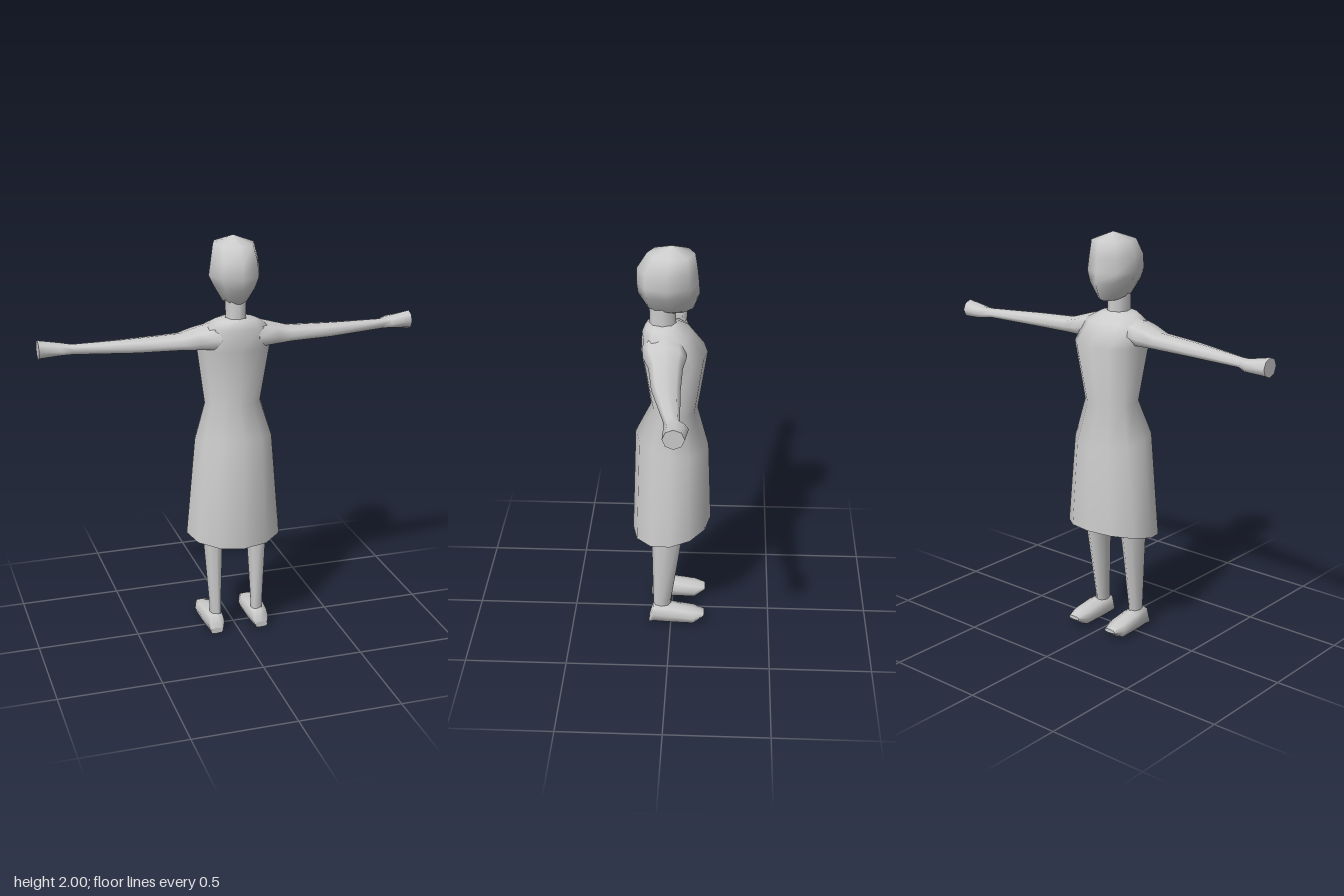
import * as THREE from 'three';

const material = new THREE.MeshStandardMaterial({ color: 0xcccccc, side: THREE.DoubleSide });
const soften = (v, e) => Math.sign(v) * Math.abs(v) ** e;

// Skins rounded cross-sections. Each ring is [s, aMin, aMax, bMin, bMax, roundness, tilt];
// place() turns (s, a, b) into a point. Flat caps get their own rim so the edge stays sharp.
function loft(name, rings, sides, place, capStart = true, capEnd = true) {
  const pos = [], idx = [];
  const addRing = ([s, a0, a1, b0, b1, e = 1, tilt = 0]) => {
    const first = pos.length / 3;
    for (let i = 0; i < sides; i++) {
      const t = (i / sides) * Math.PI * 2;
      const a = (a0 + a1) / 2 + ((a1 - a0) / 2) * soften(Math.cos(t), e);
      const b = (b0 + b1) / 2 + ((b1 - b0) / 2) * soften(Math.sin(t), e);
      pos.push(...place(s + tilt * b, a, b));
    }
    return first;
  };
  const starts = rings.map(addRing);
  for (let r = 0; r < rings.length - 1; r++) {
    for (let i = 0; i < sides; i++) {
      const j = (i + 1) % sides, p = starts[r], q = starts[r + 1];
      idx.push(p + i, q + i, p + j, p + j, q + i, q + j);
    }
  }
  const cap = (ring, flip) => {
    const f = addRing(ring);
    for (let i = 1; i < sides - 1; i++) idx.push(f, f + (flip ? i + 1 : i), f + (flip ? i : i + 1));
  };
  if (capStart) cap(rings[0], false);
  if (capEnd) cap(rings[rings.length - 1], true);

  // Turn the faces outward whichever way place() maps the axes
  const P = (k) => new THREE.Vector3().fromArray(pos, k * 3);
  const mid = P(0).add(P(sides >> 1)).multiplyScalar(0.5);
  let volume = 0;
  for (let k = 0; k < idx.length; k += 3) {
    volume += P(idx[k]).sub(mid).dot(P(idx[k + 1]).sub(mid).cross(P(idx[k + 2]).sub(mid)));
  }
  if (volume < 0) idx.reverse();

  const g = new THREE.BufferGeometry();
  g.setAttribute('position', new THREE.Float32BufferAttribute(pos, 3));
  g.setIndex(idx);
  g.computeVertexNormals();
  const mesh = new THREE.Mesh(g, material);
  mesh.name = name;
  return mesh;
}

export function createModel() {
  const group = new THREE.Group();
  const upright = (s, a, b) => [a, s, b];

  // Head: pointed crown, full back of the skull, narrow jaw
  group.add(loft('head', [
    [1.68, -0.03, 0.03, -0.07, 0.07],
    [1.695, -0.055, 0.055, -0.1, 0.11],
    [1.77, -0.1, 0.1, -0.13, 0.157],
    [1.82, -0.125, 0.125, -0.127, 0.163],
    [1.89, -0.116, 0.116, -0.12, 0.162],
    [1.965, -0.1, 0.1, -0.108, 0.115],
    [2.0, -0.004, 0.004, -0.004, 0.004],
  ], 8, upright));

  group.add(loft('neck', [
    [1.57, -0.06, 0.06, -0.03, 0.115],
    [1.63, -0.05, 0.05, -0.02, 0.105],
    [1.74, -0.055, 0.055, -0.02, 0.105],
  ], 8, upright));

  // Dress: open sloping hem, hips, waist, bust and shoulders
  group.add(loft('dress', [
    [0.525, -0.24, 0.24, -0.195, 0.195, 1, -0.18],
    [1.01, -0.194, 0.194, -0.18, 0.176, 1, 0.2],
    [1.19, -0.14, 0.14, -0.125, 0.1, 1, 0.08],
    [1.475, -0.178, 0.178, -0.17, 0.145, 0.85],
    [1.575, -0.165, 0.165, -0.088, 0.14, 0.9],
    [1.612, -0.1, 0.1, -0.038, 0.125],
    [1.622, -0.045, 0.045, -0.02, 0.105],
  ], 12, upright, false, true));

  for (const side of [1, -1]) {
    const prefix = side > 0 ? 'left' : 'right';

    // Arm and closed hand, stretched out sideways
    group.add(loft(prefix + 'Arm', [
      [0.09, 1.46, 1.608, -0.07, 0.135],
      [0.19, 1.472, 1.578, -0.075, 0.125],
      [0.27, 1.475, 1.553, -0.062, 0.095],
      [0.48, 1.476, 1.543, -0.06, 0.07],
      [0.77, 1.48, 1.53, -0.068, 0.002],
      [0.82, 1.476, 1.536, -0.108, 0],
      [0.925, 1.465, 1.557, -0.095, 0.001],
    ], 8, (s, a, b) => [side * s, a, b]));

    // Leg, narrowing from the thigh to the ankle
    const sideways = (s, a, b) => [side * a, s, b];
    group.add(loft(prefix + 'Leg', [
      [0.05, 0.08, 0.137, 0, 0.09],
      [0.12, 0.08, 0.137, 0, 0.09],
      [0.52, 0.062, 0.163, -0.06, 0.096],
      [0.9, 0.02, 0.165, -0.09, 0.1],
    ], 8, sideways));

    // Shoe with a flat sole and a low toe
    group.add(loft(prefix + 'Shoe', [
      [0.11, 0.085, 0.15, 0, 0.03, 0.6],
      [0.09, 0.072, 0.158, 0, 0.1, 0.75],
      [0, 0.064, 0.168, 0, 0.1, 0.75],
      [-0.115, 0.064, 0.17, 0, 0.08, 0.75],
      [-0.17, 0.085, 0.15, 0.04, 0.06, 0.75],
    ], 8, (s, a, b) => [side * a, b, s]));
  }
  return group;
}
